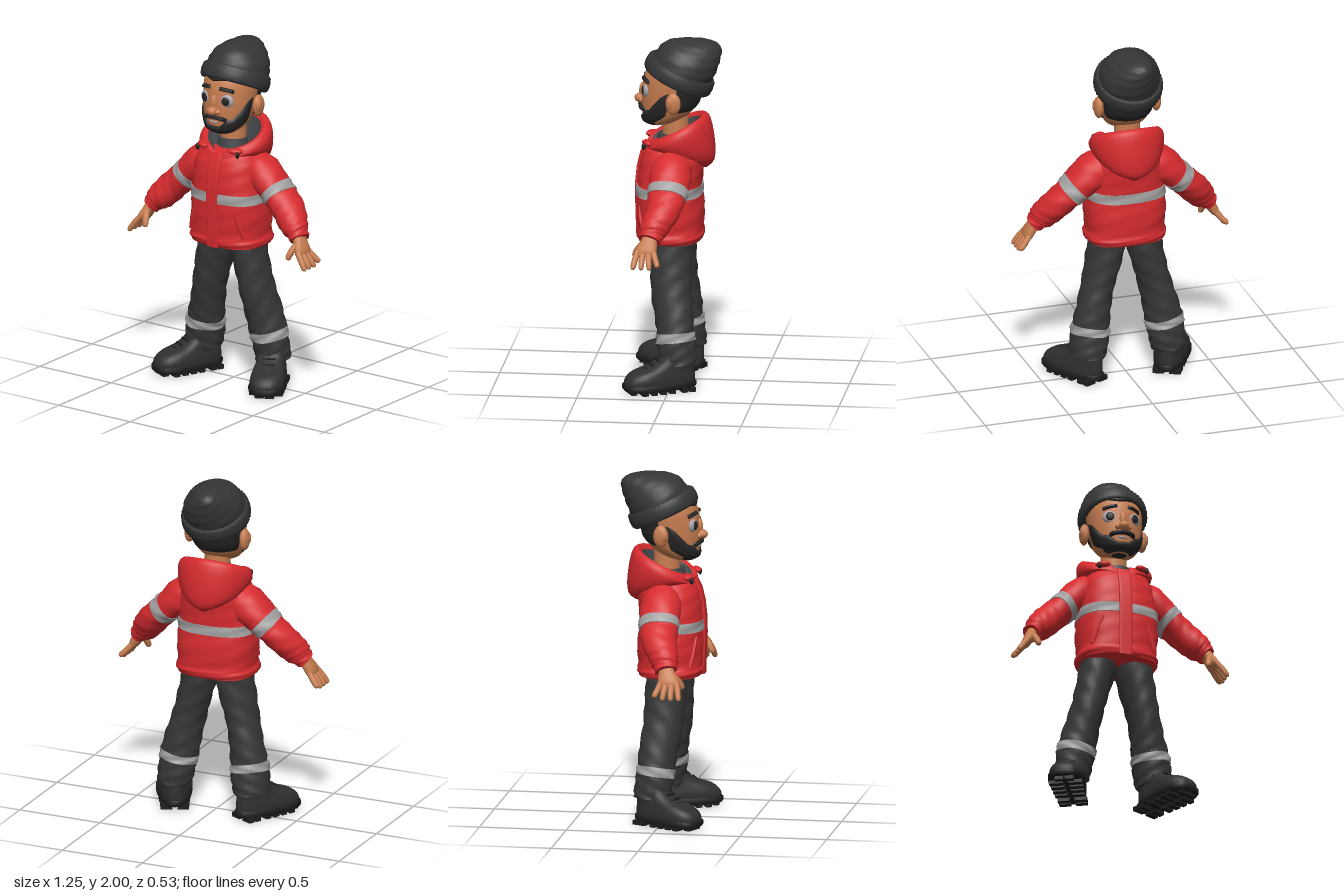
import * as THREE from 'three';

const paint = (name, color) => { const m = new THREE.MeshStandardMaterial({ color }); m.name = name; return m; };
const RED = paint('jacket red', 0xd62b2e), SILVER = paint('reflective silver', 0xa2a1a2), PANTS = paint('trouser grey', 0x363636),
  KNIT = paint('knit charcoal', 0x343536), BOOT = paint('boot black', 0x2f3031), SOLE = paint('sole black', 0x1e1e1f),
  SKIN = paint('skin', 0xc67d50), HAIR = paint('hair', 0x262525), WHITE = paint('eye white', 0xa9a5ab), LINER = paint('liner grey', 0x424547);

const V3 = (x, y, z) => new THREE.Vector3(x, y, z);
const put = (group, name, geo, mat) => { const m = new THREE.Mesh(geo, mat); m.name = name; group.add(m); return m; };
const named = (name, parent) => { const g = new THREE.Group(); g.name = name; if (parent) parent.add(g); return g; };

// Smoothly subdivides rows of numbers
function dense(rows, m = 3) {
  const out = [], last = rows.length - 1;
  for (let i = 0; i < last; i++) for (let k = 0; k < m; k++) {
    const t = k / m, p = [rows[Math.max(i - 1, 0)], rows[i], rows[i + 1], rows[Math.min(i + 2, last)]];
    out.push(rows[i].map((_, c) => {
      const [a, b, d, e] = p.map(r => r[c]);
      return b + 0.5 * t * (d - a + t * (2 * a - 5 * b + 4 * d - e + t * (3 * (b - d) + e - a)));
    }));
  }
  out.push(rows[last]);
  return out;
}

// One superellipse ring in the plane of U and W, with optional folds
function ring(c, U, W, a, b, { seg = 28, n = 2, wrinkle = 0, rib = 0 } = {}, i = 0) {
  return Array.from({ length: seg }, (_, j) => {
    const t = j / seg * Math.PI * 2, co = Math.cos(t), si = Math.sin(t);
    const f = wrinkle * Math.sin(3 * t + i * 1.3) * Math.sin(i * 0.9 + t) + (j % 2 ? -rib : 0);
    const x = Math.sign(co) * Math.abs(co) ** (2 / n) * (a + f), z = Math.sign(si) * Math.abs(si) ** (2 / n) * (b + f);
    return c.clone().addScaledVector(U, x).addScaledVector(W, z);
  });
}
// Horizontal rings; row = x, y, z, half width, half depth, slope
const stack = (rows, o) => rows.map((r, i) => ring(V3(r[0], r[1], r[2]), V3(1, 0, 0), V3(0, r[5] || 0, 1), r[3], r[4], o, i));
// Rings square to a path; row = x, y, z, half thickness, half depth
const limb = (rows, o) => rows.map((r, i) => {
  const p = rows[Math.max(i - 1, 0)], q = rows[Math.min(i + 1, rows.length - 1)];
  const T = V3(q[0] - p[0], q[1] - p[1], q[2] - p[2]).normalize();
  const W = V3(0, 0, 1).addScaledVector(T, -T.z).normalize();
  return ring(V3(r[0], r[1], r[2]), T.clone().cross(W), W, r[3], r[4], o, i);
});
// Enlarges rings for a thin band
const grow = (rings, d) => rings.map(r => {
  const c = r.reduce((s, p) => s.add(p), V3(0, 0, 0)).divideScalar(r.length);
  return r.map(p => p.clone().addScaledVector(p.clone().sub(c).normalize(), d));
});
// Moves every ring point by a rule
const bend = (rings, rule) => { rings.flat().forEach(rule); return rings; };
// Surface through rings, with flat caps
function loft(rings, caps = true) {
  const n = rings[0].length, pts = rings.flat(), idx = [];
  for (let i = 0; i < rings.length - 1; i++) for (let j = 0; j < n; j++) {
    const a = i * n + j, b = i * n + (j + 1) % n;
    idx.push(a, a + n, b, b, a + n, b + n);
  }
  if (caps) [rings[0], rings[rings.length - 1]].forEach((r, e) => {
    const s = pts.length;
    pts.push(...r, r.reduce((v, p) => v.add(p), V3(0, 0, 0)).divideScalar(n));
    for (let j = 0; j < n; j++) { const k = s + (j + 1) % n; e ? idx.push(s + n, k, s + j) : idx.push(s + n, s + j, k); }
  });
  const g = new THREE.BufferGeometry().setFromPoints(pts);
  g.setIndex(idx);
  g.computeVertexNormals();
  return g;
}
const ball = (x, y, z, a, b, c, turn = 0) => new THREE.SphereGeometry(1, 20, 14).scale(a, b, c).rotateY(turn).translate(x, y, z);

// Copies a half to the other side
function mirror(src, name, parent) {
  const g = named(name, parent);
  src.updateMatrixWorld(true);
  src.traverse(o => {
    if (!o.isMesh) return;
    const geo = o.geometry.clone().applyMatrix4(o.matrixWorld).scale(-1, 1, 1), ix = geo.index.array;
    for (let i = 0; i < ix.length; i += 3) [ix[i], ix[i + 1]] = [ix[i + 1], ix[i]];
    put(g, o.name, geo, o.material);
  });
}

// Head profile, and cushioned patches that follow it
const HEAD = dense([[0, 1.495, .1, .05, .05], [0, 1.52, .075, .1, .1], [0, 1.57, .045, .13, .14], [0, 1.63, .03, .145, .16],
  [0, 1.7, .02, .153, .165], [0, 1.78, 0, .158, .175], [0, 1.85, -.02, .15, .16], [0, 1.9, -.03, .1, .11]]);
function headPoint(deg, y, off) {
  let i = 0;
  while (i < HEAD.length - 2 && HEAD[i + 1][1] < y) i++;
  const t = THREE.MathUtils.clamp((y - HEAD[i][1]) / (HEAD[i + 1][1] - HEAD[i][1]), 0, 1);
  const [, , z, a, b] = HEAD[i].map((v, k) => v + (HEAD[i + 1][k] - v) * t), p = deg * Math.PI / 180;
  return V3((a + off) * Math.sin(p), y, z + (b + off) * Math.cos(p));
}
function patch(d0, d1, lo, hi, off, nu = 28, nv = 8) {
  const pts = [], idx = [];
  for (let i = 0; i <= nu; i++) for (let j = 0; j <= nv; j++) {
    const u = i / nu, v = j / nv, d = d0 + (d1 - d0) * u, puff = Math.min(1, 6 * u, 6 - 6 * u, 5 * v, 5 - 5 * v);
    pts.push(headPoint(d, lo(d) + (hi(d) - lo(d)) * v, -.004 + (off + .004) * puff));
    if (i < nu && j < nv) { const a = i * (nv + 1) + j, b = a + nv + 1; idx.push(a, b, a + 1, b, b + 1, a + 1); }
  }
  const g = new THREE.BufferGeometry().setFromPoints(pts);
  g.setIndex(idx);
  g.computeVertexNormals();
  return g;
}
const steps = (xs, ys) => d => {
  const x = Math.abs(d);
  let i = 0;
  while (i < xs.length - 2 && xs[i + 1] < x) i++;
  return ys[i] + (ys[i + 1] - ys[i]) * THREE.MathUtils.clamp((x - xs[i]) / (xs[i + 1] - xs[i]), 0, 1);
};

function buildJacket(root) {
  const g = named('jacket', root);
  const body = stack(dense([[0, .835, .022, .224, .183], [0, .865, .022, .237, .194], [0, .9, .022, .227, .184], [0, 1, .022, .235, .188],
    [0, 1.098, .027, .228, .185], [0, 1.155, .027, .223, .185], [0, 1.25, .018, .213, .184], [0, 1.33, .008, .203, .174],
    [0, 1.385, 0, .17, .145], [0, 1.4, -.01, .11, .1]]), { seg: 44, n: 2.5, wrinkle: .005 });
  put(g, 'jacketBody', loft(body), RED);
  put(g, 'chestBand', loft(grow(body.slice(12, 16), .005)), SILVER);
  put(g, 'stormFlap', loft(limb([[0, .835, .202, .038, .014], [0, 1, .208, .038, .014], [0, 1.15, .21, .038, .014], [0, 1.25, .2, .038, .014],
    [0, 1.33, .181, .038, .014], [0, 1.38, .155, .036, .014]], { n: 6 })), RED);
  // Lowered hood, rolled over into a dark lining and dipping at the throat
  const o = { seg: 48 }, throat = p => { if (p.z > .04) p.y -= .035 * Math.exp(-((p.x / .05) ** 2)); };
  put(g, 'hood', loft(bend(stack(dense([[0, 1.275, -.06, .05, .125, .2], [0, 1.32, -.055, .155, .172, .15], [0, 1.385, -.03, .205, .2, -.05],
    [0, 1.45, -.015, .215, .19, -.42], [0, 1.487, -.005, .185, .165, -.47], [0, 1.47, -.005, .155, .142, -.45]]), o), throat), false), RED);
  put(g, 'hoodLining', loft(bend(stack([[0, 1.472, -.005, .157, .144, -.45], [0, 1.43, -.01, .125, .12, -.3], [0, 1.405, -.01, .07, .07, 0]], o), throat), false), LINER);
  put(g, 'innerCollar', new THREE.CylinderGeometry(.08, .1, .09, 24).translate(0, 1.4, .012), LINER);
  for (const s of [-1, 1]) {
    put(g, 'pocketWelt', loft(limb([[s * .13, 1.07, .185, .012, .009], [s * .16, .985, .176, .015, .01], [s * .185, .9, .158, .012, .009]], { n: 4 })), RED);
    put(g, 'collarTab', ball(s * .115, 1.41, .145, .045, .018, .024, s * .5), RED);
    put(g, 'cordToggle', ball(s * .14, 1.395, .16, .011, .02, .012), SOLE);
  }
}

function buildArm(root) {
  const g = named('leftArm', root);
  const sleeve = limb(dense([[.11, 1.3, -.01, .09, .1], [.2, 1.262, -.005, .106, .118], [.293, 1.186, 0, .088, .11], [.333, 1.147, .005, .086, .106],
    [.4, 1.083, .02, .086, .098], [.452, 1.025, .05, .08, .088], [.487, .99, .066, .07, .077], [.5, .975, .071, .06, .066],
    [.522, .95, .08, .055, .06]]), { wrinkle: .006 });
  put(g, 'sleeve', loft(sleeve), RED);
  put(g, 'sleeveBand', loft(grow(sleeve.slice(6, 10), .005)), SILVER);
  const o = { seg: 14, n: 2.3 };
  put(g, 'palm', loft(limb(dense([[.505, .975, .075, .032, .038], [.53, .93, .085, .031, .05], [.555, .885, .098, .027, .062], [.567, .86, .1, .015, .05]]), o)), SKIN);
  const digit = (name, a, b, c, r) => put(g, name, loft(limb(dense([[...a, r, r], [...b, r, r], [...c, r * .85, r * .85],
    [c[0] + (c[0] - b[0]) * .25, c[1] + (c[1] - b[1]) * .25, c[2] + (c[2] - b[2]) * .25, r * .3, r * .3]], 2), { seg: 10 })), SKIN);
  for (let i = 0; i < 4; i++) {
    const k = i - 1.5, d = i === 0 ? .014 : 0;
    digit('finger', [.553, .89, .1 + k * .029], [.587, .848, .098 + k * .039], [.614, .808 + d, .096 + k * .046], .0175);
  }
  digit('thumb', [.528, .93, .115], [.512, .89, .15], [.503, .853, .168], .019);
  mirror(g, 'rightArm', root);
}

function buildLeg(root) {
  const g = named('leftLeg', root);
  const leg = limb(dense([[.1, .9, .01, .1, .12], [.11, .8, .01, .103, .12], [.14, .67, .005, .1, .113], [.168, .55, 0, .097, .11],
    [.198, .42, -.02, .1, .11], [.217, .325, -.03, .105, .11], [.225, .278, -.035, .107, .111], [.235, .2, -.045, .108, .106],
    [.242, .145, -.05, .102, .1]]), { wrinkle: .008 });
  put(g, 'trouserLeg', loft(leg), PANTS);
  put(g, 'ankleBand', loft(grow(leg.slice(15, 19), .004)), SILVER);
  // Boot, turned outward
  const b = named('boot', g);
  b.position.set(.24, 0, -.05);
  b.rotation.y = .45;
  const toe = p => { p.x *= 1 + 1.1 * (p.z - .06); };
  put(b, 'bootUpper', loft(bend(stack(dense([[0, .04, .112, .086, .207], [0, .08, .11, .09, .206], [0, .12, .09, .085, .184],
    [0, .15, .047, .082, .14], [0, .19, .012, .084, .106], [0, .25, .002, .085, .092]]), { n: 2.5 }), toe)), BOOT);
  put(b, 'sole', loft(bend(stack([[0, .02, .112, .088, .21], [0, .03, .112, .094, .216], [0, .05, .112, .094, .216], [0, .056, .112, .088, .209]], { n: 2.7 }), toe)), SOLE);
  [-.06, -.015, .06, .115, .17, .225, .28].forEach((z, i) => {
    for (const s of [-1, 1]) {
      const w = i === 6 ? .05 : .07 + z * .05;
      put(b, 'treadLug', new THREE.BoxGeometry(w, .026, .034).translate(s * (w / 2 + (i === 6 ? .004 : .014)), .013, z), SOLE);
    }
  });
  [[.14, .195], [.162, .163], [.185, .128]].forEach(([y, z]) =>
    put(b, 'lace', new THREE.CapsuleGeometry(.008, .06, 4, 8).rotateZ(Math.PI / 2).translate(0, y, z), SOLE));
  mirror(g, 'rightLeg', root);
}

function buildHead(root) {
  const g = named('head', root);
  g.position.x = -.008;
  put(g, 'neck', new THREE.CylinderGeometry(.072, .078, .22, 24).translate(0, 1.48, -.005), SKIN);
  put(g, 'face', loft(stack(HEAD, { seg: 36 })), SKIN);
  put(g, 'beard', patch(-100, 100, steps([0, 60, 100], [1.5, 1.5, 1.56]),
    steps([0, 18, 32, 50, 75, 100], [1.55, 1.555, 1.59, 1.605, 1.69, 1.75]), .012, 48), HAIR);
  put(g, 'chinBeard', ball(0, 1.533, .106, .1, .042, .084), HAIR);
  put(g, 'moustache', patch(-36, 36, d => 1.592 - .022 * (d / 36) ** 2, d => 1.618 - .018 * (d / 36) ** 2, .019), HAIR);
  put(g, 'smile', patch(-14, 14, d => 1.566 + .01 * (d / 14) ** 2, () => 1.582, .006), WHITE);
  put(g, 'backHair', patch(100, 260, () => 1.575, () => 1.8, .014, 36), HAIR);
  put(g, 'fringe', patch(-30, 26, d => 1.806 + .0004 * Math.abs(d + 8), () => 1.86, .012), HAIR);
  put(g, 'noseBridge', ball(0, 1.685, .182, .021, .05, .022), SKIN);
  put(g, 'noseTip', ball(0, 1.643, .198, .031, .027, .033), SKIN);
  for (const s of [-1, 1]) {
    put(g, 'nostril', ball(s * .03, 1.638, .185, .018, .017, .02), SKIN);
    put(g, 'eye', ball(s * .074, 1.705, .158, .039, .038, .018, s * .35), WHITE);
    put(g, 'iris', ball(s * .074, 1.705, .172, .024, .026, .008, s * .35), HAIR);
    put(g, 'eyebrow', patch(s > 0 ? 10 : -44, s > 0 ? 44 : -10, d => 1.764 - .00001 * d * d, d => 1.789 - .00001 * d * d, .013), HAIR);
    put(g, 'ear', ball(s * .172, 1.655, -.01, .027, .064, .044), SKIN);
    put(g, 'earInner', ball(s * .186, 1.66, .006, .016, .036, .024), SKIN);
  }
  // Knitted cap, tipped back
  const hat = named('knitCap', g);
  hat.position.set(0, 1.75, -.008);
  hat.rotation.x = -.44;
  put(hat, 'capCuff', loft(stack([[0, .005, 0, .165, .175], [0, -.002, 0, .185, .195], [0, .012, 0, .196, .206], [0, .045, 0, .199, .209],
    [0, .078, 0, .194, .204], [0, .09, 0, .183, .193], [0, .085, 0, .165, .175]], { seg: 96, rib: .005 }), false), KNIT);
  put(hat, 'capCrown', loft(stack(dense([[0, .05, 0, .173, .182], [0, .12, -.005, .172, .18], [-.002, .185, -.017, .148, .16], [-.008, .24, -.05, .106, .115],
    [-.018, .28, -.085, .06, .066], [-.024, .296, -.1, .015, .02]]), { seg: 72, rib: .0025, wrinkle: .006 })), KNIT);
}

export function createModel() {
  const root = named('workerFigure');
  buildJacket(root);
  buildArm(root);
  buildLeg(root);
  buildHead(root);
  return root;
}
